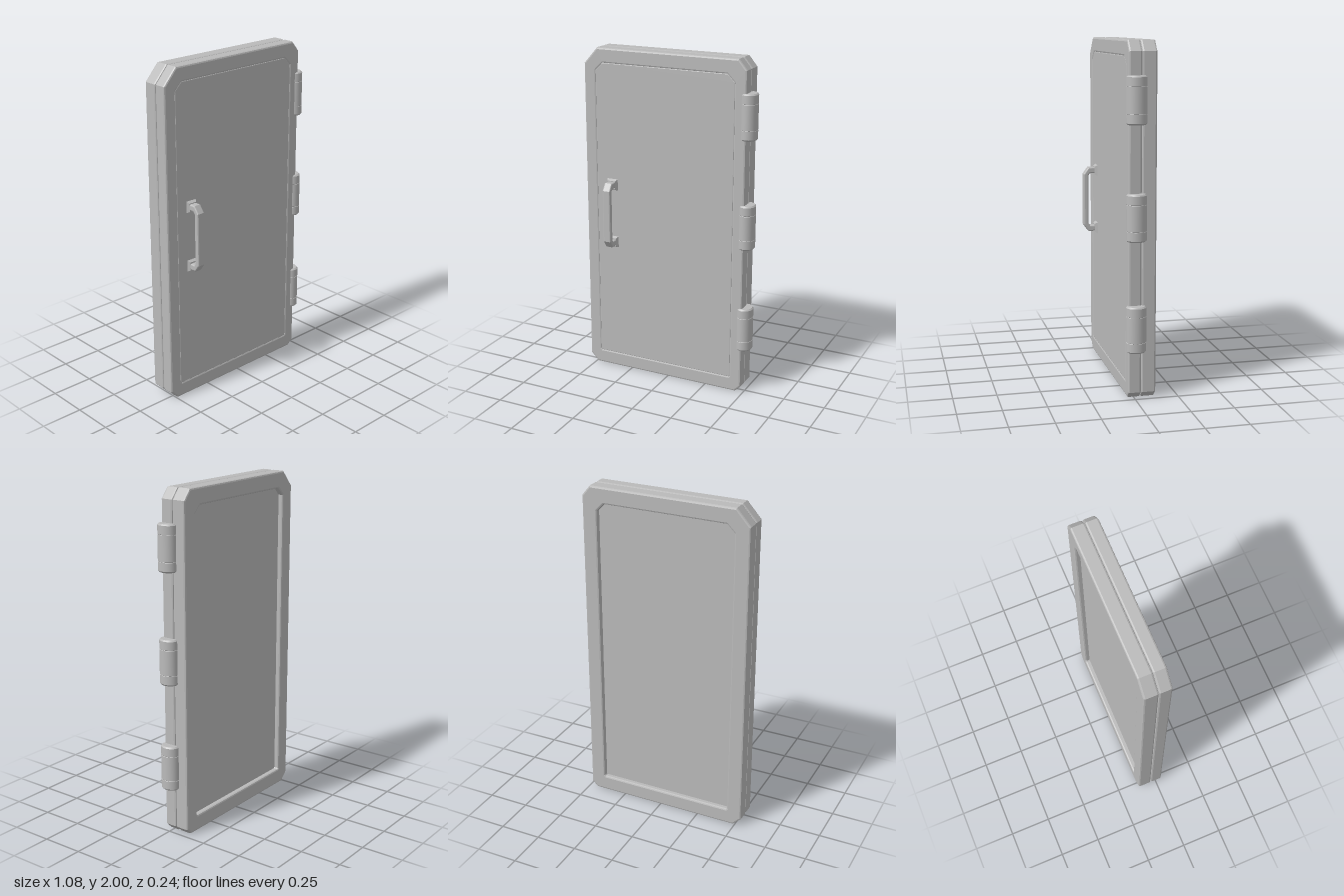
import * as THREE from 'three';

const grey = new THREE.MeshStandardMaterial({ color: 0xbababa });
grey.name = 'grey metal';

// Rectangle with a separate chamfer (dx, dy) at each corner, inset by d
function outline(Type, [x0, x1, y0, y1], [bl, br, tr, tl], d = 0) {
  const l = x0 + d, r = x1 - d, b = y0 + d, t = y1 - d;
  const pts = [
    [l, b + bl[1]], [l + bl[0], b], [r - br[0], b], [r, b + br[1]],
    [r, t - tr[1]], [r - tr[0], t], [l + tl[0], t], [l, t - tl[1]],
  ];
  return new Type(pts.map(([x, y]) => new THREE.Vector2(x, y)));
}

const INNER_CORNERS = [[0.006, 0.006], [0.006, 0.006], [0.045, 0.045], [0.045, 0.045]];
const OUTER = [[-0.54, 0.484, 0, 2], [[0.05, 0.05], [0.035, 0.035], [0.05, 0.06], [0.085, 0.095]]];
const FRONT_INNER = [[-0.469, 0.417, 0.083, 1.917], INNER_CORNERS];
const BACK_INNER = [[-0.453, 0.398, 0.09, 1.908], INNER_CORNERS];

// Bevelled plate between two z planes, keeping the shape's full size
function plate(name, shape, z0, z1, bevel) {
  const g = new THREE.ExtrudeGeometry(shape, {
    depth: z1 - z0 - 2 * bevel, bevelEnabled: bevel > 0, bevelThickness: bevel,
    bevelSize: bevel, bevelOffset: -bevel, bevelSegments: 2,
  });
  g.translate(0, 0, z0 + bevel);
  const m = new THREE.Mesh(g, grey);
  m.name = name;
  return m;
}

function frame(name, inner, z0, z1) {
  const s = outline(THREE.Shape, ...OUTER);
  s.holes.push(outline(THREE.Path, ...inner, 0.006));
  return plate(name, s, z0, z1, 0.01);
}

// Three-knuckle hinge barrel, slightly flattened across the door
function hinge(y0, y1) {
  const h = y1 - y0, r = 0.057, c = 0.008, n = 0.002;
  const p = [[0, 0], [r - c, 0], [r, c]];
  for (const f of [0.22, 0.78]) {
    p.push([r, h * f - n], [r - n, h * f], [r, h * f + n]);
  }
  p.push([r, h - c], [r - c, h], [0, h]);
  const pts = p.map(([x, y]) => new THREE.Vector2(x, y));
  const g = new THREE.Group();
  g.name = 'hinge';
  // One lathe per profile segment keeps the edges crisp
  for (let i = 0; i < pts.length - 1; i++) {
    const m = new THREE.Mesh(new THREE.LatheGeometry([pts[i], pts[i + 1]], 32), grey);
    m.name = 'hingeKnuckle';
    g.add(m);
  }
  g.position.set(0.487, y0, -0.006);
  g.scale.x = 0.85;
  return g;
}

// Pull handle: side profile (z, y) extruded across its width
function handle() {
  const g = new THREE.Group();
  g.name = 'handle';
  const half = [[0.03, 0.2], [0.09, 0.2], [0.12, 0.158]];
  const inner = [[0.03, 0.163], [0.08, 0.163], [0.09, 0.15]];
  const ring = [...half, ...half.map(([z, y]) => [z, -y]).reverse(),
    ...inner.map(([z, y]) => [z, -y]), ...inner.slice().reverse()];
  const w = 0.05, b = 0.008;
  const geo = new THREE.ExtrudeGeometry(
    new THREE.Shape(ring.map(([z, y]) => new THREE.Vector2(-z, y))),
    { depth: w - 2 * b, bevelThickness: b, bevelSize: b, bevelOffset: -b, bevelSegments: 3 });
  geo.translate(0, 0, -w / 2 + b);
  geo.rotateY(Math.PI / 2);
  const grip = new THREE.Mesh(geo, grey);
  grip.name = 'handleGrip';
  g.add(grip);
  // Flared feet
  for (const s of [-1, 1]) {
    const foot = new THREE.CylinderGeometry(0.035, 0.051, 0.02, 4, 1).toNonIndexed();
    foot.rotateY(Math.PI / 4).rotateX(Math.PI / 2);
    foot.computeVertexNormals();
    const m = new THREE.Mesh(foot, grey);
    m.name = 'handleFoot';
    m.position.set(0, s * 0.18, 0.042);
    g.add(m);
  }
  g.position.set(-0.364, 1.008, 0);
  return g;
}

export function createModel() {
  const model = new THREE.Group();
  model.name = 'door';

  // Front leaf and back surround, whose bevels meet in a shallow groove
  model.add(frame('frontFrame', FRONT_INNER, -0.038, 0.037));
  model.add(frame('backFrame', BACK_INNER, -0.122, -0.038));

  // Nearly flush front panel and shallow recessed back panel
  model.add(plate('frontPanel', outline(THREE.Shape, ...FRONT_INNER, 0.003), -0.03, 0.035, 0.004));
  model.add(plate('backPanel', outline(THREE.Shape, ...BACK_INNER), -0.092, -0.04, 0));

  for (const [y0, y1] of [[0.275, 0.54], [0.905, 1.17], [1.547, 1.812]]) model.add(hinge(y0, y1));
  model.add(handle());
  return model;
}
